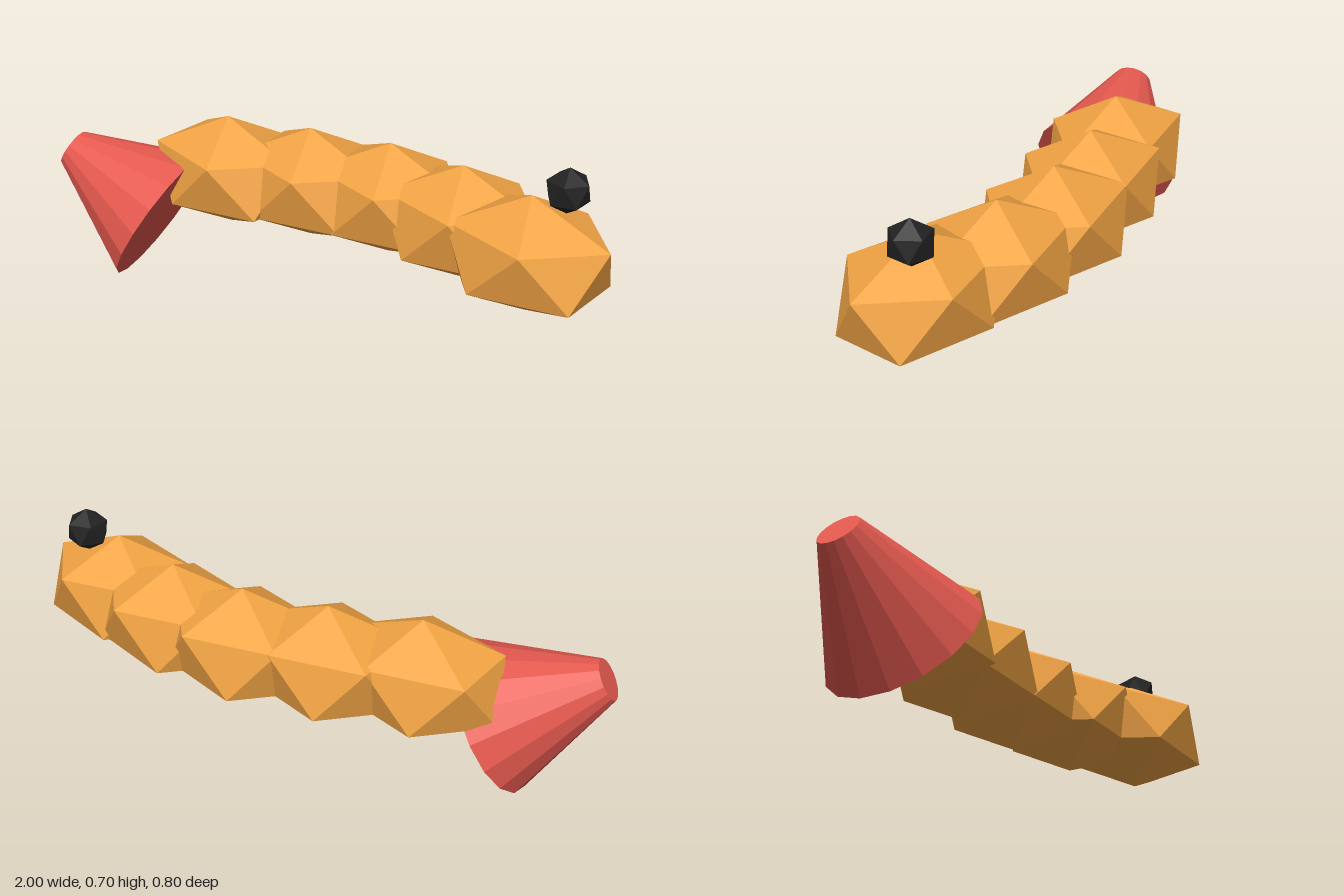
import * as THREE from 'three';

const flat = (color) => new THREE.MeshStandardMaterial({ color, flatShading: true });

// Icosahedron standing on a vertex, with an upper-ring vertex towards +x
function icoGeometry(sx, sy, sz) {
  const g = new THREE.IcosahedronGeometry(1, 0);
  g.rotateZ(-Math.atan(2 / (1 + Math.sqrt(5))));
  g.scale(sx, sy, sz);
  return g;
}

export function createModel() {
  const model = new THREE.Group();
  model.name = 'segmentedCreature';

  // Body: five overlapping squashed segments along a gentle curve
  const body = new THREE.Group();
  body.name = 'body';
  const segmentGeometry = icoGeometry(0.316, 0.201, 0.242);
  const orange = flat(0xf2a444);
  [-0.017, -0.118, -0.188, -0.192, -0.139].forEach((z, i) => {
    const segment = new THREE.Mesh(segmentGeometry, orange);
    segment.name = `bodySegment${i + 1}`;
    segment.position.set(-0.445 + i * 0.29, 0.398, z);
    body.add(segment);
  });
  model.add(body);

  // Small dark ball on top of the last segment
  const ball = new THREE.Mesh(icoGeometry(0.077, 0.077, 0.077), flat(0x222222));
  ball.name = 'eye';
  ball.position.set(0.806, 0.621, -0.197);
  model.add(ball);

  // Tilted truncated cone at the other end, from wide base to narrow tip
  const base = new THREE.Vector3(-0.627, 0.225, 0.15);
  const tip = new THREE.Vector3(-0.96, 0.43, 0.257);
  const coneGeometry = new THREE.CylinderGeometry(
    0.07, 0.263, base.distanceTo(tip), 16, 1, false, Math.PI / 16);
  coneGeometry.rotateX(Math.PI / 2);
  const cone = new THREE.Mesh(coneGeometry, flat(0xe5594f));
  cone.name = 'cone';
  cone.position.lerpVectors(base, tip, 0.5);
  cone.lookAt(tip);
  model.add(cone);

  return model;
}
